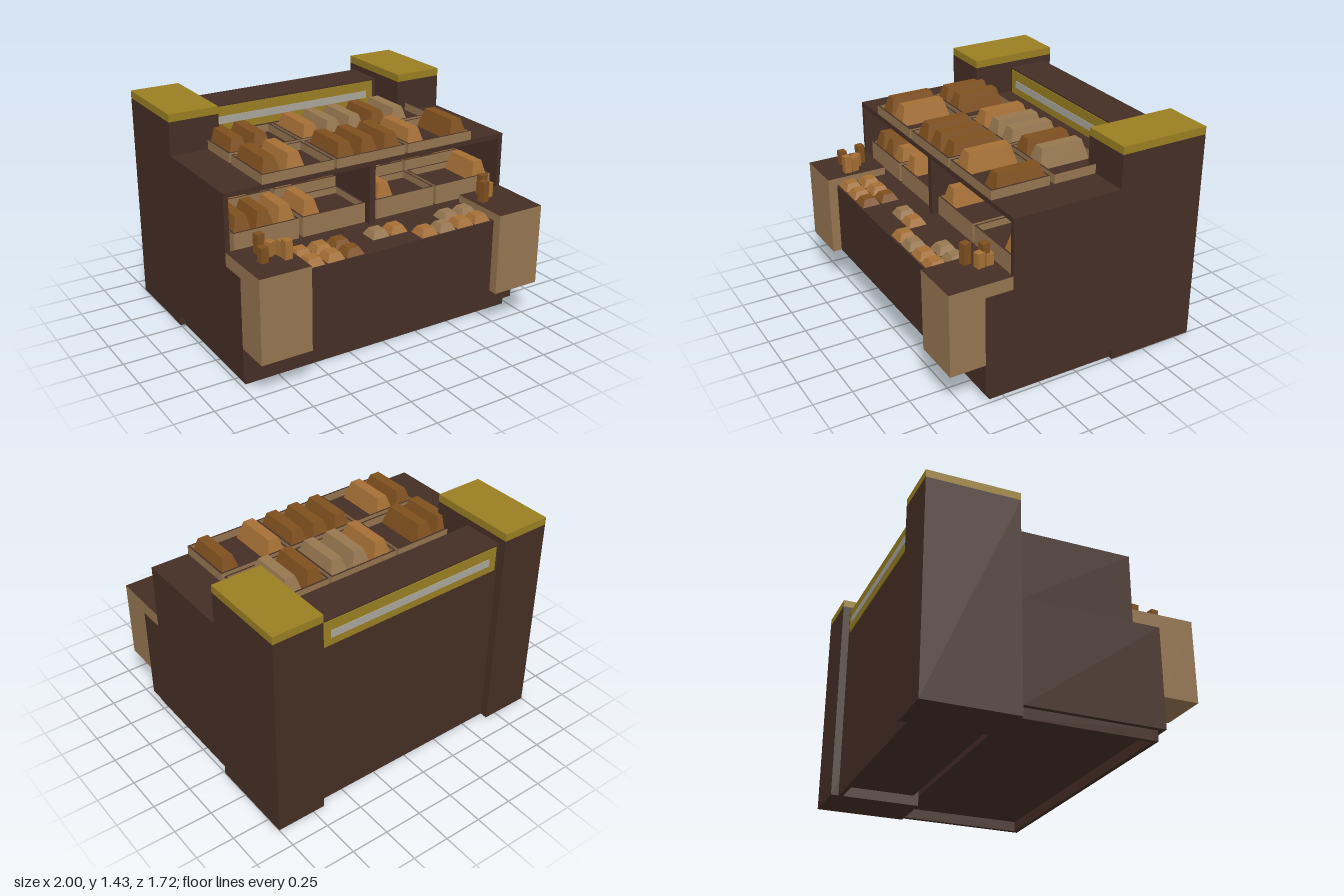
import * as THREE from 'three';

export function createModel() {
  const root = new THREE.Group();
  const mat = (name, color) => {
    const m = new THREE.MeshStandardMaterial({ color });
    m.name = name;
    return m;
  };
  const wood = mat('darkWood', 0x452f25);
  const tan = mat('paleWood', 0x957550);
  const gold = mat('gold', 0x9a7f22);
  const silver = mat('silverStrip', 0xaaa79c);
  const dark = mat('darkCrust', 0x80501f);
  const amber = mat('amberCrust', 0xa67035);
  const pale = mat('paleCrust', 0x977750);
  const crust = { d: dark, a: amber, p: pale };
  const tanWithWoodTop = [tan, tan, wood, tan, tan, tan];

  // Box given by its limits on each axis
  function box(name, x0, x1, y0, y1, z0, z1, material, parent = root) {
    const mesh = new THREE.Mesh(new THREE.BoxGeometry(x1 - x0, y1 - y0, z1 - z0), material);
    mesh.position.set((x0 + x1) / 2, (y0 + y1) / 2, (z0 + z1) / 2);
    mesh.name = name;
    parent.add(mesh);
    return mesh;
  }

  // Loaf: a box whose top is pulled inwards
  function loaf(name, x, y, z, w, h, d, topW, topD, material) {
    const g = new THREE.BoxGeometry(w, h, d);
    const p = g.attributes.position;
    for (let i = 0; i < p.count; i++) {
      if (p.getY(i) > 0) {
        p.setX(i, p.getX(i) * topW / w);
        p.setZ(i, p.getZ(i) * topD / d);
      }
    }
    const flat = g.toNonIndexed();
    flat.computeVertexNormals();
    const mesh = new THREE.Mesh(flat, material);
    mesh.position.set(x, y + h / 2, z);
    mesh.name = name;
    root.add(mesh);
  }

  // Open tray with thin walls and a dark floor
  function tray(name, x0, x1, y0, y1, z0, z1, floorY) {
    const g = new THREE.Group();
    g.name = name;
    const t = 0.012;
    box('trayFront', x0, x1, y0, y1, z1 - t, z1, tanWithWoodTop, g);
    box('trayBack', x0, x1, y0, y1, z0, z0 + t, tanWithWoodTop, g);
    box('traySide', x0, x0 + t, y0, y1, z0 + t, z1 - t, tanWithWoodTop, g);
    box('traySide', x1 - t, x1, y0, y1, z0 + t, z1 - t, tanWithWoodTop, g);
    box('trayFloor', x0 + t, x1 - t, y0, floorY, z0 + t, z1 - t, wood, g);
    root.add(g);
  }

  // Cabinet body
  box('lowerBody', -1, 1, 0.067, 0.72, -0.265, 0.63, wood);
  box('displayFloor', -0.97, 0.97, 0.72, 0.755, -0.3, 0.45, wood);
  box('displayDivider', -0.02, 0.02, 0.755, 1.135, -0.3, 0.45, wood);
  box('topDeck', -0.97, 0.97, 1.135, 1.165, -0.3, 0.45, wood);
  box('backBody', -0.67, 0.67, 0.067, 1.165, -0.81, -0.3, wood);
  box('backSkirt', -0.67, 0.67, 0, 0.067, -0.81, -0.78, wood);
  box('plinthFront', -0.97, 0.97, 0, 0.067, 0.56, 0.59, wood);

  // Sides, pillars and front counters, mirrored
  for (const s of [-1, 1]) {
    const side = (name, a, b, ...rest) =>
      box(name, Math.min(s * a, s * b), Math.max(s * a, s * b), ...rest);
    side('sideWall', 0.97, 1, 0.72, 1.165, -0.265, 0.45, wood);
    side('plinthSide', 0.94, 0.97, 0, 0.067, -0.265, 0.56, wood);
    side('backPillar', 0.67, 1, 0, 1.38, -0.86, -0.265, wood);
    side('pillarCap', 0.67, 1, 1.38, 1.43, -0.86, -0.265, gold);
    side('counterBlock', 0.67, 1, 0.27, 0.805, 0.63, 0.86, tanWithWoodTop);
    side('counterSlab', 0.67, 1, 0.72, 0.805, 0.45, 0.63, tanWithWoodTop);
  }
  box('middleCounter', -0.67, 0.67, 0.27, 0.755, 0.45, 0.8, wood);

  // Header wall with gold panels and pale strips on both faces
  box('headerWall', -0.67, 0.67, 1.165, 1.34, -0.81, -0.54, wood);
  box('frontPanel', -0.645, 0.64, 1.165, 1.33, -0.54, -0.534, gold);
  box('frontStrip', -0.59, 0.59, 1.215, 1.265, -0.534, -0.53, silver);
  box('backPanel', -0.645, 0.64, 1.165, 1.33, -0.816, -0.81, gold);
  box('backStrip', -0.59, 0.59, 1.215, 1.265, -0.82, -0.816, silver);

  // Trays and long loaves on the top deck
  for (const [z0, z1] of [[0.055, 0.445], [-0.36, 0.025]]) {
    for (const [x0, x1] of [[-0.75, -0.27], [-0.25, 0.24], [0.26, 0.745]]) {
      tray('topTray', x0, x1, 1.165, 1.225, z0, z1, 1.175);
    }
  }
  const topLoaves = [
    [0.24, [[-0.67, 'd'], [-0.51, 'a'], [-0.165, 'd'], [0, 'd'], [0.165, 'd'], [0.34, 'a'], [0.67, 'd']]],
    [-0.165, [[-0.67, 'd'], [-0.51, 'd'], [-0.165, 'a'], [0, 'p'], [0.165, 'p'], [0.34, 'd'], [0.5, 'p']]],
  ];
  for (const [z, row] of topLoaves) {
    for (const [x, c] of row) loaf('topLoaf', x, 1.175, z, 0.14, 0.122, 0.35, 0.07, 0.28, crust[c]);
  }

  // Two stepped rows of trays inside the display
  for (const [x0, x1] of [[-0.93, -0.5], [-0.475, -0.035], [0.05, 0.485], [0.505, 0.94]]) {
    tray('frontTray', x0, x1, 0.765, 0.893, 0.09, 0.42, 0.85);
    tray('rearTray', x0, x1, 0.765, 0.955, -0.25, 0.075, 0.91);
  }
  const displayLoaves = [
    [0.855, 0.255, 0.12, [[-0.86, 'd'], [-0.715, 'd'], [-0.57, 'a'], [-0.4, 'a'], [0.13, 'a'], [0.87, 'a']]],
    [0.915, -0.09, 0.135, [[-0.86, 'a'], [-0.715, 'a'], [-0.4, 'a'], [-0.11, 'd'], [0.13, 'a'], [0.27, 'a'],
      [0.58, 'd'], [0.87, 'a']]],
  ];
  for (const [y, z, h, row] of displayLoaves) {
    for (const [x, c] of row) loaf('displayLoaf', x, y, z, 0.13, h, 0.29, 0.065, 0.23, crust[c]);
  }

  // Small buns on the middle counter
  const buns = [
    [0.6, [[-0.6, 'a'], [-0.465, 'a'], [-0.335, 'd'], [-0.07, 'p'], [0.06, 'a'], [0.455, 'p'], [0.59, 'p']]],
    [0.73, [[-0.6, 'a'], [-0.465, 'a'], [-0.335, 'd'], [0.195, 'a'], [0.325, 'p'], [0.46, 'a'], [0.59, 'a']]],
  ];
  for (const [z, row] of buns) {
    for (const [x, c] of row) loaf('bun', x, 0.754, z, 0.12, 0.045, 0.12, 0.07, 0.07, crust[c]);
  }

  // Upright bread sticks on the side counters: x, z, top, turn, colour
  const sticks = [
    [-0.84, 0.555, 0.93, 0.1, 'd'], [-0.795, 0.605, 0.89, 0.4, 'a'], [-0.74, 0.645, 0.9, 0.2, 'a'],
    [-0.735, 0.695, 0.92, 0, 'a'], [-0.875, 0.67, 0.9, 0.1, 'd'], [0.805, 0.5, 0.88, 0, 'a'],
    [0.795, 0.52, 0.945, 0.1, 'd'], [0.81, 0.56, 0.9, 0.15, 'a'], [0.735, 0.61, 0.94, 0.2, 'd'],
  ];
  for (const [x, z, top, turn, c] of sticks) {
    const r = 0.024;
    box('breadStick', x - r, x + r, 0.805, top, z - r, z + r, crust[c]).rotation.y = turn;
  }
  return root;
}
